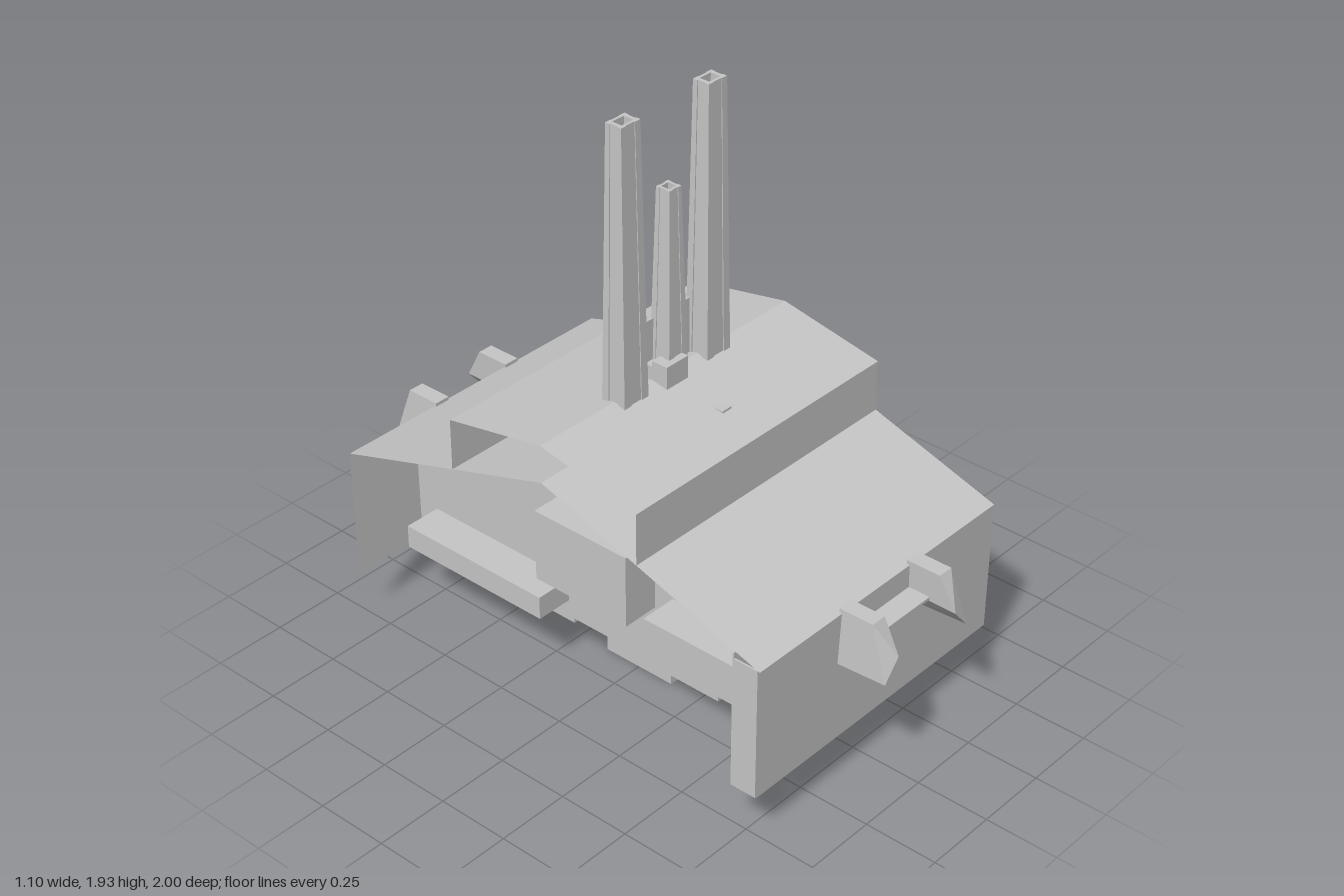
import * as THREE from 'three';
import { ConvexGeometry } from 'three/addons/geometries/ConvexGeometry.js';

const grey = new THREE.MeshStandardMaterial({ color: 0xc6c6c6, flatShading: true });
grey.name = 'grey metal';
const greySheet = grey.clone();
greySheet.side = THREE.DoubleSide;

// mirror the front half of a [z, y] outline to the back
const mirror = (half) => [...half, ...half.slice(0, -1).reverse().map(([z, y]) => [-z, y])];

const hallOutline = mirror([[0.825, 0.19], [0.83, 0.645], [0, 0.907]]);
const clerestoryOutline = mirror([[0.37, 0.79], [0.37, 0.965], [0, 1.035]]);

export function createModel() {
  const model = new THREE.Group();

  function add(name, geometry, material = grey) {
    const mesh = new THREE.Mesh(geometry, material);
    mesh.name = name;
    model.add(mesh);
    return mesh;
  }

  // box given by its limits on each axis
  function box(name, x0, x1, y0, y1, z0, z1) {
    const g = new THREE.BoxGeometry(x1 - x0, y1 - y0, z1 - z0);
    return add(name, g.translate((x0 + x1) / 2, (y0 + y1) / 2, (z0 + z1) / 2));
  }

  // sheet folded along an outline, across the full width
  function foldedSheet(name, outline) {
    const sheet = new THREE.PlaneGeometry(1.1, 1, 1, outline.length - 1);
    const p = sheet.attributes.position;
    outline.forEach(([z, y], i) => {
      p.setXYZ(2 * i, 0.55, y, z);
      p.setXYZ(2 * i + 1, -0.55, y, z);
    });
    const g = sheet.toNonIndexed();
    g.computeVertexNormals();
    add(name, g, greySheet);
  }
  foldedSheet('hallRoofAndEndWalls', hallOutline);
  foldedSheet('clerestory', clerestoryOutline);

  // inset side walls under the roof overhang, the right one set deeper
  for (const [side, x] of [['left', 0.48], ['right', -0.27]]) {
    for (const [part, outline] of [['Wall', hallOutline], ['ClerestoryWall', clerestoryOutline]]) {
      const shape = new THREE.Shape(outline.map(([z, y]) => new THREE.Vector2(-z, y)));
      const g = new THREE.ShapeGeometry(shape).rotateY(Math.PI / 2).translate(x, 0, 0);
      add(side + part, g, greySheet);
    }
  }

  // hollow front wall with dividers, open underneath
  box('frontWallBack', -0.55, 0.55, 0.19, 0.665, 0.73, 0.735);
  for (let i = 0; i <= 6; i++) {
    const x = -0.547 + (i * 1.094) / 6;
    box('frontWallDivider', x - 0.003, x + 0.003, 0.19, 0.645, 0.73, 0.822);
  }

  // side ledges, each with an upright at its far end
  box('leftLedge', 0.475, 0.55, 0.48, 0.495, -0.73, -0.27);
  box('leftLedgeUpright', 0.475, 0.55, 0.48, 0.67, -0.735, -0.725);
  box('rightLedge', -0.4, -0.265, 0.45, 0.465, 0.26, 0.68);
  box('rightLedgeUpright', -0.4, -0.265, 0.45, 0.68, 0.675, 0.685);

  // equipment on the right side and inside
  box('rightCabinet', -0.4, -0.26, 0.4, 0.65, -0.18, 0.19);
  box('rightPlatform', -0.4, -0.26, 0.25, 0.33, -0.75, -0.17);
  box('rearFloor', -0.27, 0.48, 0.4, 0.41, -0.81, -0.5);

  // machinery hanging below the open floor
  box('frontUnderbox', -0.185, 0.18, 0.085, 0.3, 0, 0.37);
  box('centreUnderbox', -0.135, 0.135, 0, 0.5, -0.135, 0.135);
  box('rearUnderbox', -0.185, 0.1, 0.11, 0.25, -0.36, -0.13);
  box('rearUnderplate', -0.185, 0.18, 0.085, 0.11, -0.36, -0.23);
  box('rearUnderpost', 0.1, 0.18, 0.1, 0.3, -0.36, -0.3);

  // angled brackets and the shelf between them, on both ends
  for (const end of [1, -1]) {
    for (const side of [1, -1]) {
      const points = [
        [0.13, 0.66, 0.82], [0.185, 0.66, 0.82], [0.13, 0.66, 0.94], [0.185, 0.66, 0.94],
        [0.135, 0.55, 1], [0.195, 0.48, 1], [0.195, 0.47, 0.82], [0.135, 0.55, 0.82],
      ].map(([x, y, z]) => new THREE.Vector3(x * side, y, z * end));
      add('bracket', new ConvexGeometry(points));
    }
    const z = [0.82 * end, 0.905 * end].sort((a, b) => a - b);
    box('shelf', -0.14, 0.14, 0.555, 0.565, z[0], z[1]);
  }

  // tapered hollow chimney with a shallow groove down each face
  function chimney(name, x, bottom, top, w0, d0, w1, d1) {
    const corner = [[0.5, 0.22], [0.5, 0.5], [0.22, 0.5], [0.22, 0.46], [-0.22, 0.46]];
    const pts = [];
    for (let q = 0; q < 4; q++) {
      const c = Math.round(Math.cos((q * Math.PI) / 2));
      const s = Math.round(Math.sin((q * Math.PI) / 2));
      for (const [a, b] of corner) pts.push(new THREE.Vector2(a * c - b * s, a * s + b * c));
    }
    const shape = new THREE.Shape(pts);
    const r = 0.3;
    shape.holes.push(new THREE.Path([[-r, -r], [-r, r], [r, r], [r, -r]]
      .map(([a, b]) => new THREE.Vector2(a, b))));
    const g = new THREE.ExtrudeGeometry(shape, { depth: 1, bevelEnabled: false });
    g.rotateX(-Math.PI / 2);
    const p = g.attributes.position;
    for (let i = 0; i < p.count; i++) {
      const t = p.getY(i);
      p.setXYZ(i, x + p.getX(i) * (w0 + (w1 - w0) * t), bottom + (top - bottom) * t,
        p.getZ(i) * (d0 + (d1 - d0) * t));
    }
    g.computeVertexNormals();
    add(name, g);
  }
  chimney('rightChimney', -0.187, 1.02, 1.935, 0.105, 0.09, 0.08, 0.06);
  chimney('leftChimney', 0.183, 1.02, 1.935, 0.105, 0.09, 0.08, 0.06);
  chimney('middleChimney', 0.005, 1.02, 1.655, 0.085, 0.08, 0.052, 0.052);
  box('chimneyBase', -0.07, 0.025, 1, 1.1, 0, 0.06);
  box('chimneyBaseRear', -0.07, 0.05, 1, 1.08, -0.06, 0);
  box('chimneyBrace', -0.145, 0.13, 1.02, 1.22, -0.035, -0.027);

  // small roof vent
  box('roofVent', -0.02, 0.02, 0.98, 0.998, 0.2, 0.235);

  return model;
}
